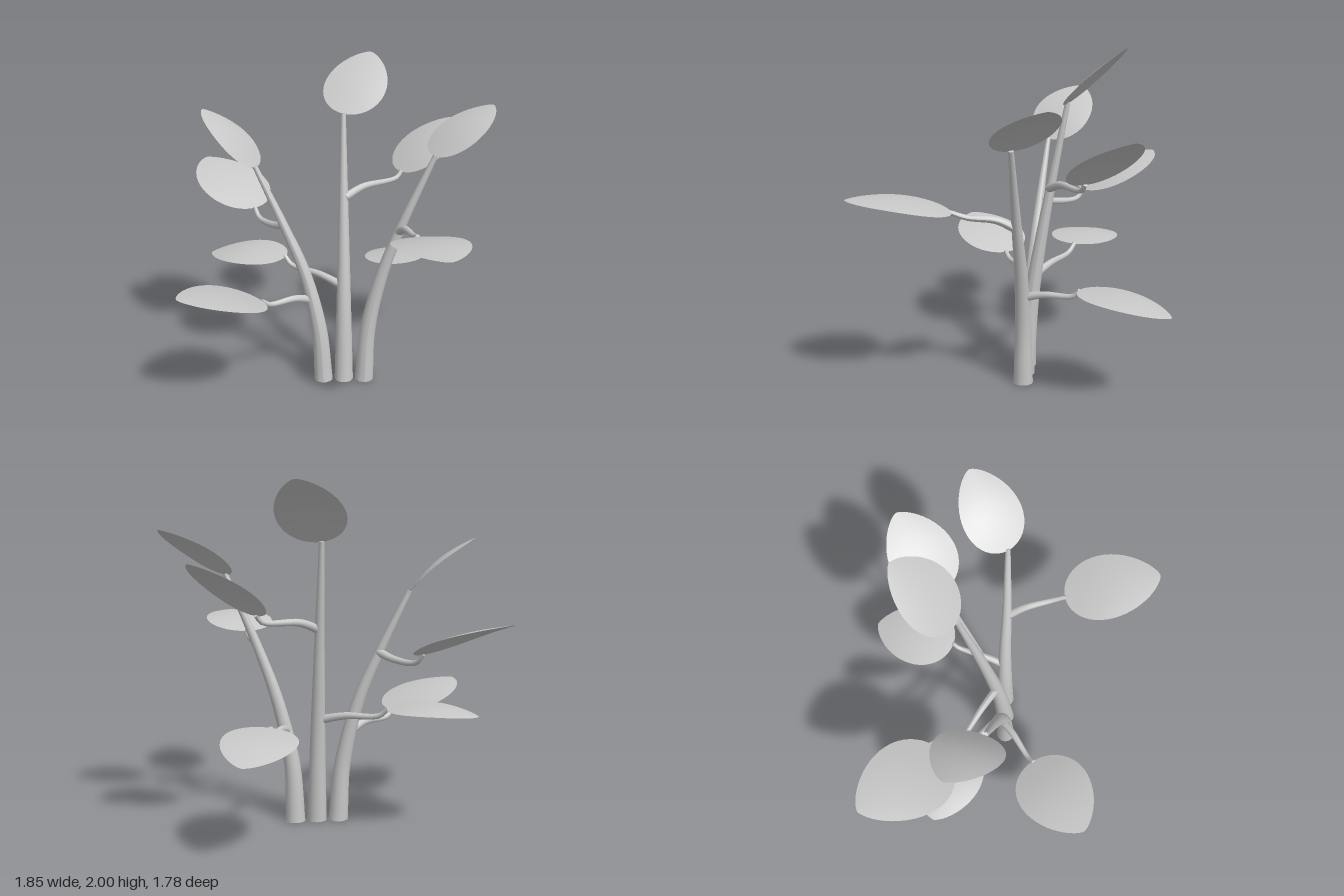
import * as THREE from 'three';

const leafGrey = new THREE.MeshStandardMaterial({ color: 0xc8c8c8, side: THREE.DoubleSide });
leafGrey.name = 'plantGrey';

const V = (p) => new THREE.Vector3(...p);

// Tapered round tube along a smooth curve, closed at both ends
function taperedTube(name, points, r0, r1, segments, sides) {
  const curve = new THREE.CatmullRomCurve3(points.map(V));
  const tube = new THREE.TubeGeometry(curve, segments, 1, sides);
  const pos = tube.attributes.position;
  const v = new THREE.Vector3();
  for (let i = 0; i <= segments; i++) {
    const u = i / segments;
    const c = curve.getPointAt(u);
    const r = THREE.MathUtils.lerp(r0, r1, u);
    for (let j = 0; j <= sides; j++) {
      const k = i * (sides + 1) + j;
      v.fromBufferAttribute(pos, k).sub(c).multiplyScalar(r).add(c);
      // keep the foot of a stem flat on the ground
      pos.setXYZ(k, v.x, i === 0 && points[0][1] === 0 ? 0 : Math.max(v.y, 0), v.z);
    }
  }
  tube.computeVertexNormals();
  const group = new THREE.Group();
  group.name = name;
  const body = new THREE.Mesh(tube, leafGrey);
  body.name = name + 'Body';
  group.add(body);
  [[0, r0, -1], [1, r1, 1]].forEach(([u, r, s]) => {
    const cap = new THREE.Mesh(new THREE.CircleGeometry(r, sides), leafGrey);
    cap.name = name + 'Cap';
    const dir = curve.getTangentAt(u).multiplyScalar(s);
    if (u === 0 && points[0][1] === 0) dir.set(0, -1, 0);
    cap.position.copy(curve.getPointAt(u));
    cap.quaternion.setFromUnitVectors(new THREE.Vector3(0, 0, 1), dir);
    group.add(cap);
  });
  return group;
}

// Arched leaf blade from base to tip; hint sets the direction across the blade
function leaf(base, tip, halfWidth, arch, hint) {
  const a = V(base), axis = V(tip).sub(a);
  const dir = axis.clone().normalize();
  const side = hint ? V(hint) : new THREE.Vector3().crossVectors(dir, new THREE.Vector3(0, 1, 0));
  side.addScaledVector(dir, -side.dot(dir)).normalize();
  const normal = new THREE.Vector3().crossVectors(side, dir);
  if (normal.y < 0) { normal.negate(); side.negate(); }
  const nu = 24, nv = 10;
  const geo = new THREE.PlaneGeometry(1, 1, nv, nu);
  const pos = geo.attributes.position;
  for (let i = 0; i < pos.count; i++) {
    const s = pos.getX(i) * 2;
    // rows crowd together near the base and the tip
    const t = (1 - Math.cos(Math.PI * (pos.getY(i) + 0.5))) / 2;
    const w = halfWidth * Math.pow(t, 0.5) * Math.pow(1 - t, 0.7) / 0.4426;
    const lift = arch * Math.sin(Math.PI * t) - 0.015 * s * s * Math.sin(Math.PI * t);
    const p = a.clone().addScaledVector(axis, t).addScaledVector(side, w * s).addScaledVector(normal, lift);
    pos.setXYZ(i, p.x, p.y, p.z);
  }
  geo.computeVertexNormals();
  const mesh = new THREE.Mesh(geo, leafGrey);
  mesh.name = 'leaf';
  return mesh;
}

export function createModel() {
  const plant = new THREE.Group();
  plant.name = 'pottedPlantFoliage';

  // Three main stems
  const stems = {
    rightStem: [[-0.1, 0, -0.05], [-0.125, 0.35, -0.055], [-0.21, 0.72, -0.08], [-0.34, 1.04, -0.11], [-0.5, 1.39, -0.15]],
    middleStem: [[0.03, 0, -0.05], [0.03, 0.5, -0.09], [0.03, 1, -0.165], [0.03, 1.68, -0.29]],
    leftStem: [[0.16, 0, -0.05], [0.18, 0.35, -0.05], [0.26, 0.72, -0.045], [0.37, 1.04, -0.03], [0.56, 1.49, -0.02]],
  };
  for (const [name, pts] of Object.entries(stems)) plant.add(taperedTube(name, pts, 0.059, 0.015, 28, 14));

  // Leaf stalks growing from the stems
  const stalks = [
    [[-0.33, 1.03, -0.11], [-0.4, 1.0, -0.2], [-0.5, 1.0, -0.34], [-0.53, 1.055, -0.38]],
    [[-0.17, 0.55, -0.07], [-0.27, 0.59, 0], [-0.42, 0.595, 0.09], [-0.465, 0.635, 0.125]],
    [[0.02, 0.63, -0.1], [-0.12, 0.67, -0.19], [-0.3, 0.69, -0.3], [-0.345, 0.74, -0.335]],
    [[0.21, 0.56, -0.05], [0.25, 0.595, -0.17], [0.31, 0.615, -0.35], [0.325, 0.655, -0.385]],
    [[0.36, 1.02, -0.02], [0.385, 1.07, 0.08], [0.42, 1.09, 0.24], [0.43, 1.12, 0.33]],
    [[0.04, 1.18, -0.19], [0.15, 1.225, -0.26], [0.37, 1.245, -0.385], [0.4, 1.285, -0.405]],
  ];
  stalks.forEach((pts) => plant.add(taperedTube('leafStalk', pts, 0.026, 0.013, 16, 10)));

  // Leaves: base, tip, half width, arch, direction across
  const leaves = [
    [[-0.5, 1.385, -0.15], [-0.82, 1.695, -0.35], 0.19, 0.04, [0.25, 0, -0.95]],
    [[0.03, 1.675, -0.29], [0.21, 1.995, -0.61], 0.195, 0.02, [0.95, 0, 0.25]],
    [[0.55, 1.485, -0.02], [0.92, 1.74, -0.23], 0.18, 0.03, [0.47, -0.05, 0.88]],
    [[-0.53, 1.05, -0.38], [-0.88, 1.26, -0.835], 0.23, 0.035],
    [[-0.46, 0.63, 0.12], [-0.92, 0.78, 0.41], 0.225, 0.03],
    [[-0.34, 0.735, -0.33], [-0.83, 0.71, -0.48], 0.215, 0.035],
    [[0.32, 0.655, -0.38], [0.5, 0.575, -0.89], 0.205, 0.03, [0.95, 0.08, 0.3]],
    [[0.43, 1.115, 0.32], [0.53, 1.2, 0.89], 0.21, 0.035],
    [[0.395, 1.28, -0.4], [0.75, 1.57, -0.65], 0.2, 0.03],
  ];
  leaves.forEach((l) => plant.add(leaf(...l)));

  return plant;
}
